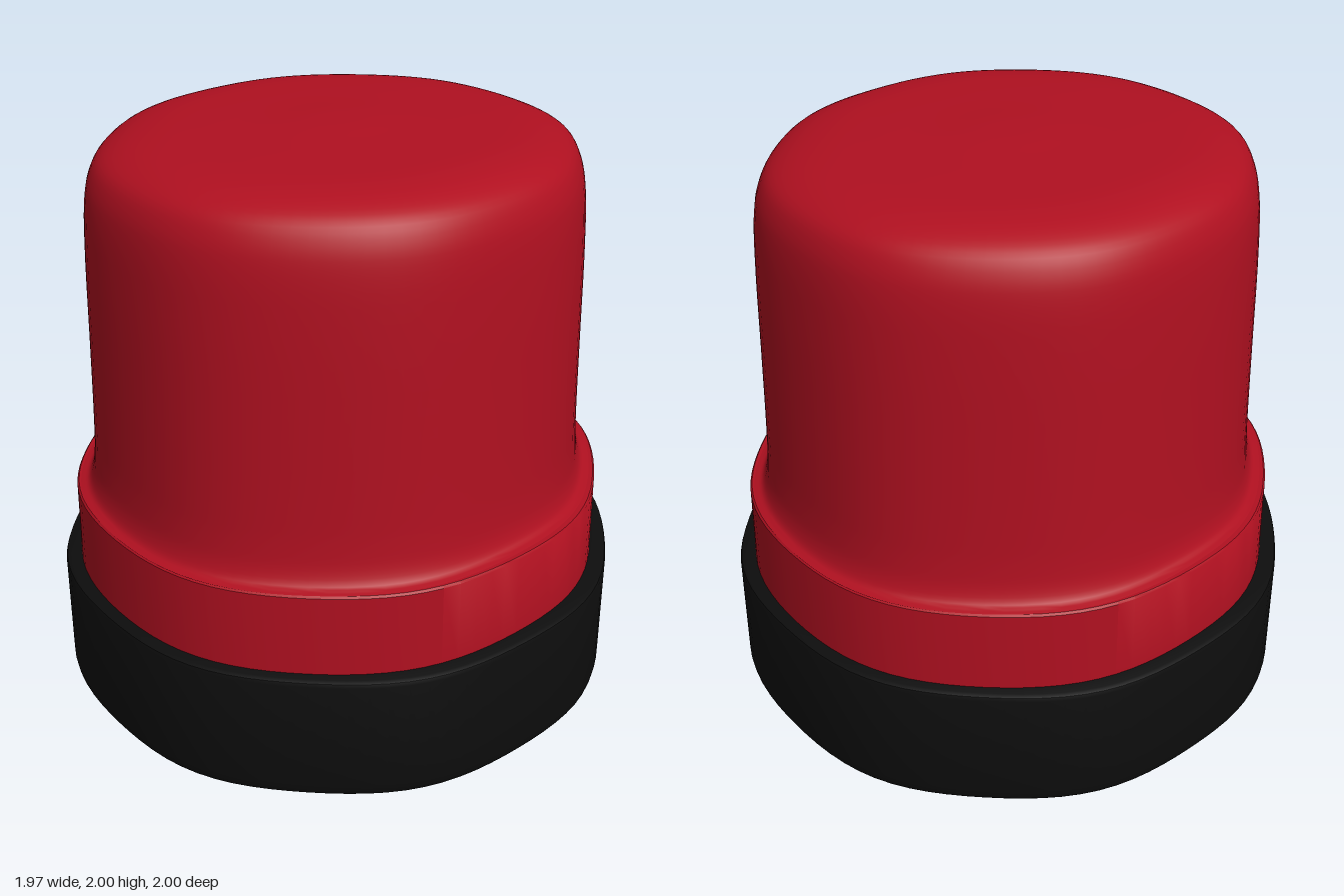
import * as THREE from 'three';
import { mergeVertices, toCreasedNormals } from 'three/addons/utils/BufferGeometryUtils.js';

const red = new THREE.MeshStandardMaterial({ color: 0xb01020, roughness: 0.6 });
const black = new THREE.MeshStandardMaterial({ color: 0x0d0d0d, roughness: 0.7 });

// Turned profile [radius at the side, height], made deeper along z and
// slightly eight-cornered by the given ripple
function turned(name, points, material, stretch, ripple) {
  const profile = points.map(([r, y]) => new THREE.Vector2(r, y));
  let geo = new THREE.LatheGeometry(profile, 96);
  geo.deleteAttribute('normal');
  geo.deleteAttribute('uv');
  geo = mergeVertices(geo, 1e-4);
  const pos = geo.attributes.position;
  for (let i = 0; i < pos.count; i++) {
    const a = Math.atan2(pos.getX(i), pos.getZ(i));
    const k = 1 + stretch * (1 + Math.cos(2 * a)) / 2 - ripple * (1 - Math.cos(8 * a)) / 2;
    pos.setX(i, pos.getX(i) * k);
    pos.setZ(i, pos.getZ(i) * k);
  }
  const mesh = new THREE.Mesh(toCreasedNormals(geo, 0.7), material);
  mesh.name = name;
  return mesh;
}

// Smooth curve through a few points
function smooth(points, count) {
  const curve = new THREE.CatmullRomCurve3(
    points.map(([r, y]) => new THREE.Vector3(r, y, 0)), false, 'centripetal');
  return curve.getPoints(count).map((p) => [Math.max(p.x, 0), p.y]);
}

export function createModel() {
  const group = new THREE.Group();
  group.name = 'beaconLight';

  // Black foot with rounded edges and a flat top
  group.add(turned('base', [
    [0, 0], [0.6, 0.003], [0.85, 0.01],
    ...smooth([[0.9, 0.013], [0.95, 0.023], [0.975, 0.042], [0.985, 0.08]], 10),
    [0.985, 0.465], [0.981, 0.477], [0.968, 0.483], [0.9, 0.485], [0, 0.485],
  ], black, 0.015, 0.016));

  // Red collar sitting on the foot
  group.add(turned('collar', [
    [0, 0.47], [0.922, 0.47], [0.918, 0.762], [0.912, 0.769], [0.8, 0.771], [0, 0.771],
  ], red, 0.034, 0.012));

  // Domed lens, flaring at its foot
  group.add(turned('lens', smooth([
    [0.895, 0.77], [0.868, 0.78], [0.85, 0.82], [0.84, 0.9], [0.835, 1.02],
    [0.829, 1.3], [0.823, 1.6], [0.813, 1.78], [0.797, 1.86], [0.765, 1.92],
    [0.7, 1.958], [0.6, 1.98], [0.45, 1.988], [0.25, 1.993], [0.1, 1.999], [0, 2],
  ], 56), red, 0.06, 0.012));

  return group;
}
